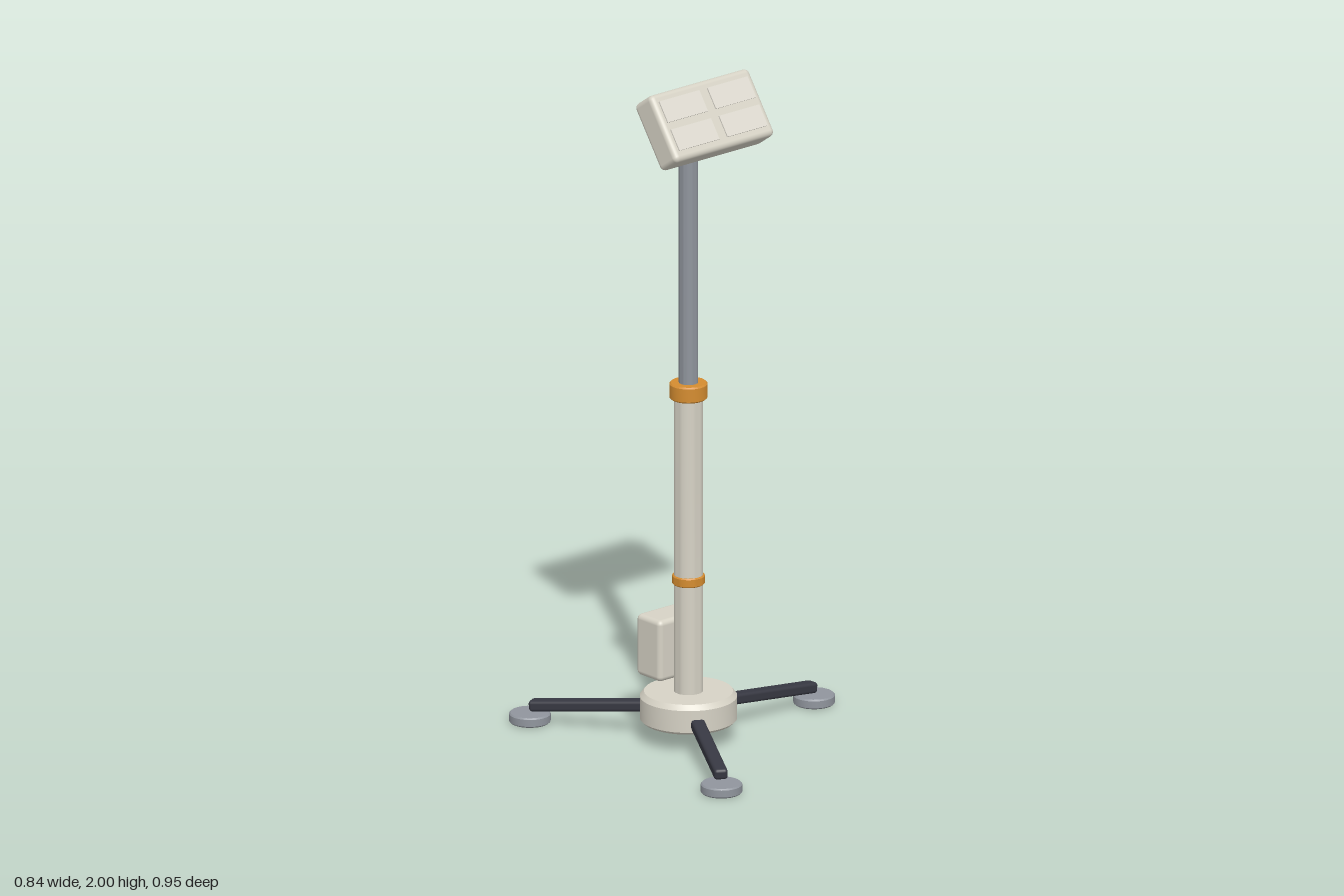
import * as THREE from 'three';
import { RoundedBoxGeometry } from 'three/addons/geometries/RoundedBoxGeometry.js';
import { toCreasedNormals } from 'three/addons/utils/BufferGeometryUtils.js';

const paint = (name, color) => Object.assign(new THREE.MeshStandardMaterial({ color }), { name });

export function createModel() {
  const shell = paint('warm grey shell', 0xd6d2c5);
  const lens = paint('pale lens', 0xdedad0);
  const dark = paint('dark metal', 0x373842);
  const steel = paint('steel grey', 0x90959d);
  const orange = paint('orange clamp', 0xd48c30);

  const model = new THREE.Group();
  model.name = 'towerLight';
  const AXIS = -0.12; // x of the mast

  function add(parent, name, geometry, material, x = 0, y = 0, z = 0) {
    const mesh = new THREE.Mesh(geometry, material);
    mesh.name = name;
    mesh.position.set(x, y, z);
    parent.add(mesh);
    return mesh;
  }

  // Solid of revolution from [radius, y] pairs, with crisp edges
  function turned(points, segments = 32) {
    const lathe = new THREE.LatheGeometry(points.map(([r, y]) => new THREE.Vector2(r, y)), segments);
    return toCreasedNormals(lathe, 0.6);
  }
  const pipe = (r, y0, y1) => turned([[0, y0], [r, y0], [r, y1], [0, y1]]);
  const collar = (r, y0, y1, c) => turned([[0, y0], [r - c, y0], [r, y0 + c], [r, y1 - c], [r - c, y1], [0, y1]]);

  // Base and telescopic mast
  const tower = new THREE.Group();
  tower.name = 'tower';
  tower.position.x = AXIS;
  model.add(tower);
  add(tower, 'baseHub', turned([[0, 0.058], [0.132, 0.058], [0.14, 0.066], [0.14, 0.132], [0.128, 0.147], [0, 0.147]], 48), shell);
  add(tower, 'lowerMast', pipe(0.042, 0.14, 1.05), shell);
  add(tower, 'upperMast', pipe(0.028, 1.04, 1.87), steel);
  add(tower, 'lowerClamp', collar(0.047, 0.472, 0.5, 0.003), orange);
  add(tower, 'upperClamp', collar(0.055, 1.034, 1.082, 0.004), orange);

  // Three splayed legs with round feet
  for (let i = 0; i < 3; i++) {
    const leg = new THREE.Group();
    leg.name = 'legAssembly';
    leg.rotation.y = (i * Math.PI * 2) / 3;
    tower.add(leg);
    const bar = add(leg, 'leg', new RoundedBoxGeometry(0.4, 0.032, 0.04, 2, 0.009), dark, 0.28, 0.073, 0);
    bar.rotation.z = -0.11;
    add(leg, 'foot', collar(0.06, 0, 0.029, 0.004), steel, 0.48, 0, 0);
  }

  // Control box behind the mast, with its power cable
  add(model, 'controlBox', new RoundedBoxGeometry(0.15, 0.185, 0.105, 3, 0.015), shell, AXIS, 0.268, -0.092);
  const route = new THREE.CatmullRomCurve3([
    new THREE.Vector3(-0.077, 0.285, -0.036),
    new THREE.Vector3(-0.077, 0.4, -0.029),
    new THREE.Vector3(-0.077, 1.1, -0.029),
    new THREE.Vector3(-0.077, 1.78, -0.029),
  ]);
  add(model, 'cable', new THREE.TubeGeometry(route, 24, 0.0065, 8), dark);

  // Tilted lamp head
  const head = new THREE.Group();
  head.name = 'lampHead';
  head.position.set(AXIS, 1.895, 0.07);
  head.rotation.x = -0.61;
  model.add(head);
  add(head, 'housing', new RoundedBoxGeometry(0.38, 0.21, 0.09, 3, 0.016), shell);

  // Four lens plates
  for (const sx of [-1, 1]) {
    for (const sy of [-1, 1]) {
      add(head, 'lens', new THREE.BoxGeometry(0.153, 0.066, 0.008), lens, sx * 0.092, sy * 0.044 + 0.002, 0.045);
    }
  }

  // Cooling fins and mounting bar on the back
  for (let i = -2; i <= 2; i++) {
    add(head, 'coolingFin', new THREE.BoxGeometry(0.014, 0.178, 0.03), dark, i * 0.072, 0, -0.056);
  }
  add(head, 'mountingBar', new RoundedBoxGeometry(0.28, 0.046, 0.03, 2, 0.006), dark, 0, 0.004, -0.058);
  add(head, 'pivotBlock', new RoundedBoxGeometry(0.05, 0.07, 0.036, 2, 0.006), dark, 0, 0.03, -0.058);

  return model;
}
